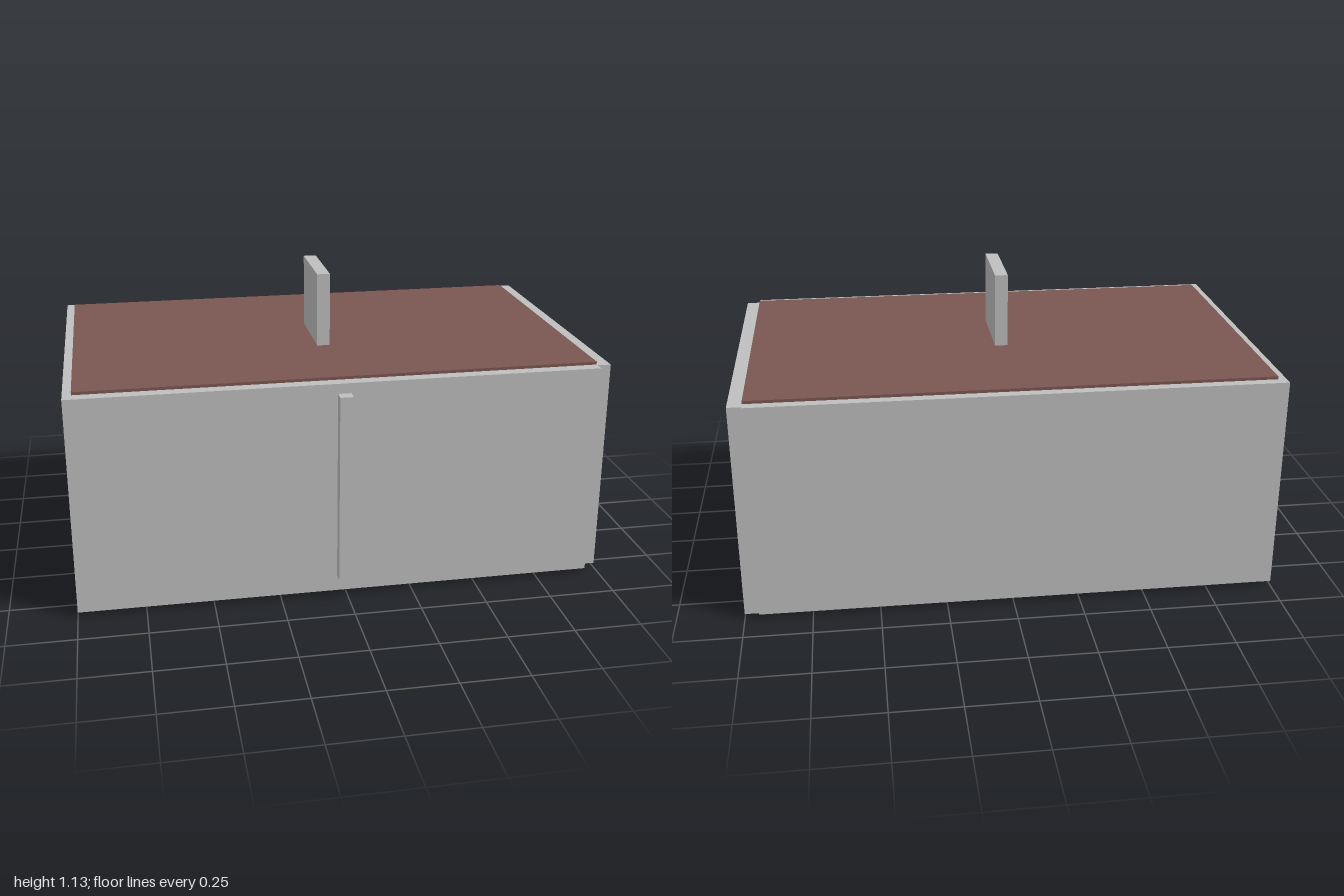
import * as THREE from 'three';

const mat = (name, color) => {
  const m = new THREE.MeshStandardMaterial({ color });
  m.name = name;
  return m;
};

export function createModel() {
  const model = new THREE.Group();
  model.name = 'box';
  const grey = mat('grey', 0xbebebe);
  const brown = mat('brown', 0x7a5752);
  const green = mat('green', 0x64943d);

  // Box given by its [min, max] extents on each axis
  const block = (name, material, [x0, x1], [y0, y1], [z0, z1]) => {
    const mesh = new THREE.Mesh(new THREE.BoxGeometry(x1 - x0, y1 - y0, z1 - z0), material);
    mesh.position.set((x0 + x1) / 2, (y0 + y1) / 2, (z0 + z1) / 2);
    mesh.name = name;
    model.add(mesh);
  };

  const bottom = 0.018, top = 0.842;
  const back = -0.634, front = 0.592, end = 0.948, t = 0.05;

  // Front, back and right walls as one U-shaped extrusion (shape y = -z)
  const plan = new THREE.Shape([
    [-1, -front], [end, -front], [end, -front + t], [-1 + t, -front + t],
    [-1 + t, -back - t], [end, -back - t], [end, -back], [-1, -back],
  ].map(([x, y]) => new THREE.Vector2(x, y)));
  const wallGeometry = new THREE.ExtrudeGeometry(plan, { depth: top - bottom, bevelEnabled: false });
  wallGeometry.rotateX(-Math.PI / 2);
  const walls = new THREE.Mesh(wallGeometry, grey);
  walls.position.y = bottom;
  walls.name = 'walls';
  model.add(walls);

  // Separate end wall, slightly shorter than the box is deep
  block('endWall', grey, [end, 1], [bottom, top], [-0.624, 0.556]);

  // Lid with its upright fin
  block('lid', brown, [-0.968, 0.948], [top, 0.853], [-0.597, 0.547]);
  block('lidFin', grey, [-0.038, 0.011], [0.853, 1.135], [-0.144, 0.167]);

  // Upright bar on the front wall
  block('frontBar', grey, [-0.038, 0.011], [0.081, 0.804], [front, 0.634]);

  // Recessed two-colour floor with a small plate beneath
  const floorY = [0.03, 0.042], floorZ = [back + t, front - t];
  block('floorRight', green, [-1 + t, -0.01], floorY, floorZ);
  block('floorLeft', brown, [-0.01, end], floorY, floorZ);
  block('bottomPlate', brown, [-0.28, 0.03], [0, 0.03], [-0.142, 0.166]);

  return model;
}
